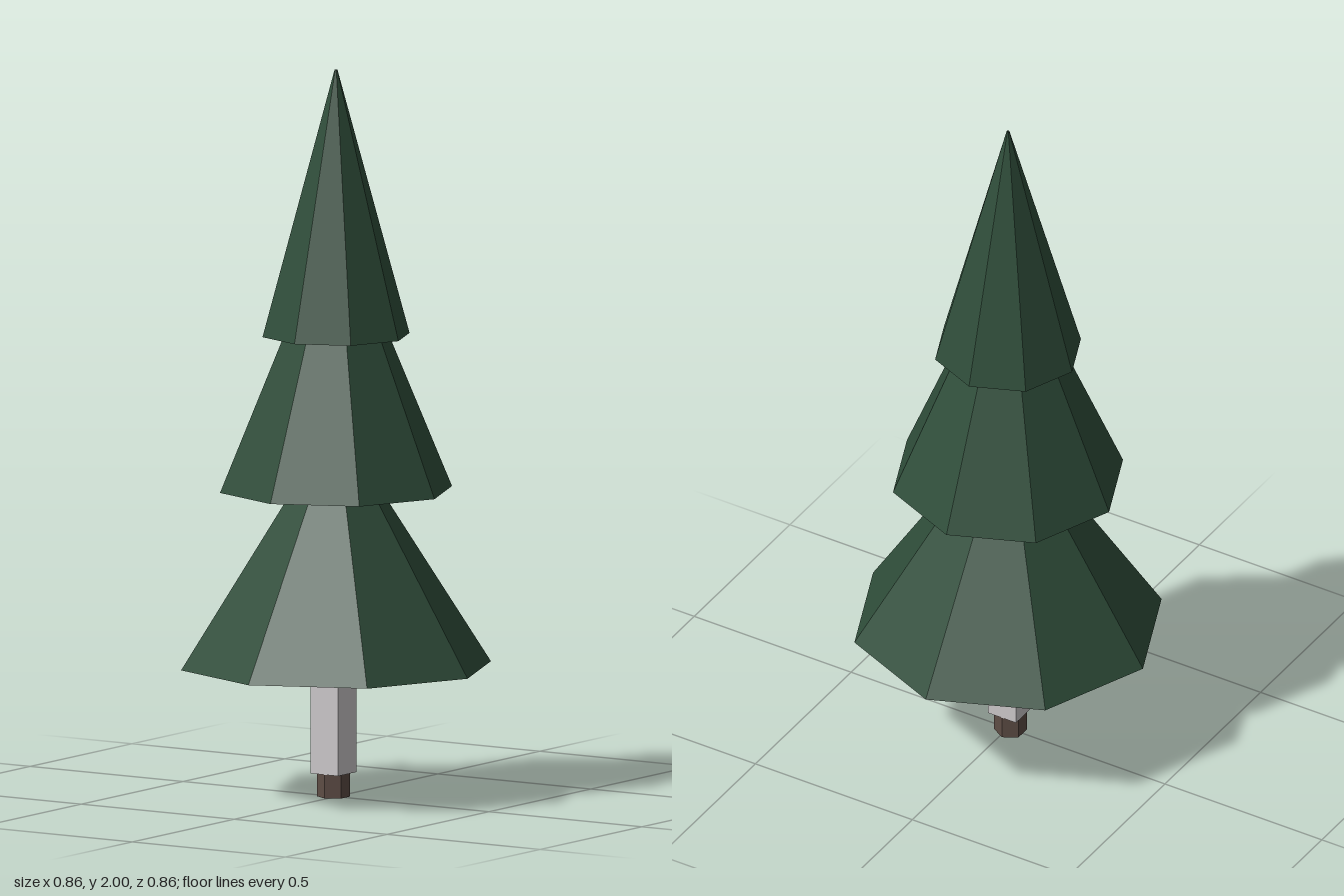
import * as THREE from 'three';

export function createModel() {
  const tree = new THREE.Group();
  tree.name = 'pineTree';

  const material = (name, color, side = THREE.FrontSide) =>
    new THREE.MeshStandardMaterial({ name, color, side, flatShading: true });
  const needleGreen = material('needleGreen', 0x2f4d3a, THREE.DoubleSide);
  const paleTrunk = material('paleTrunk', 0xcdc9cb);
  const stumpBrown = material('stumpBrown', 0x5e4d45);

  function add(name, geometry, mat, x, y) {
    const mesh = new THREE.Mesh(geometry, mat);
    mesh.name = name;
    mesh.position.set(x, y, 0);
    tree.add(mesh);
  }

  // Hollow eight-sided foliage skirts, open underneath
  const tiers = [
    { name: 'lowerFoliage', radius: 0.43, bottom: 0.36, top: 1.03 },
    { name: 'middleFoliage', radius: 0.322, bottom: 0.845, top: 1.61 },
    { name: 'upperFoliage', radius: 0.204, bottom: 1.27, top: 2 },
  ];
  for (const { name, radius, bottom, top } of tiers) {
    const skirt = new THREE.CylinderGeometry(0.004, radius, top - bottom, 8, 1, true);
    add(name, skirt, needleGreen, 0, (top + bottom) / 2);
  }

  // Square trunk running up inside the foliage
  const trunkBottom = 0.065, trunkTop = 0.9;
  add('trunk', new THREE.BoxGeometry(0.09, trunkTop - trunkBottom, 0.09), paleTrunk,
    -0.008, (trunkTop + trunkBottom) / 2);

  // Six-sided foot under the trunk
  add('trunkFoot', new THREE.CylinderGeometry(0.045, 0.045, trunkBottom, 6), stumpBrown,
    -0.008, trunkBottom / 2);

  return tree;
}
